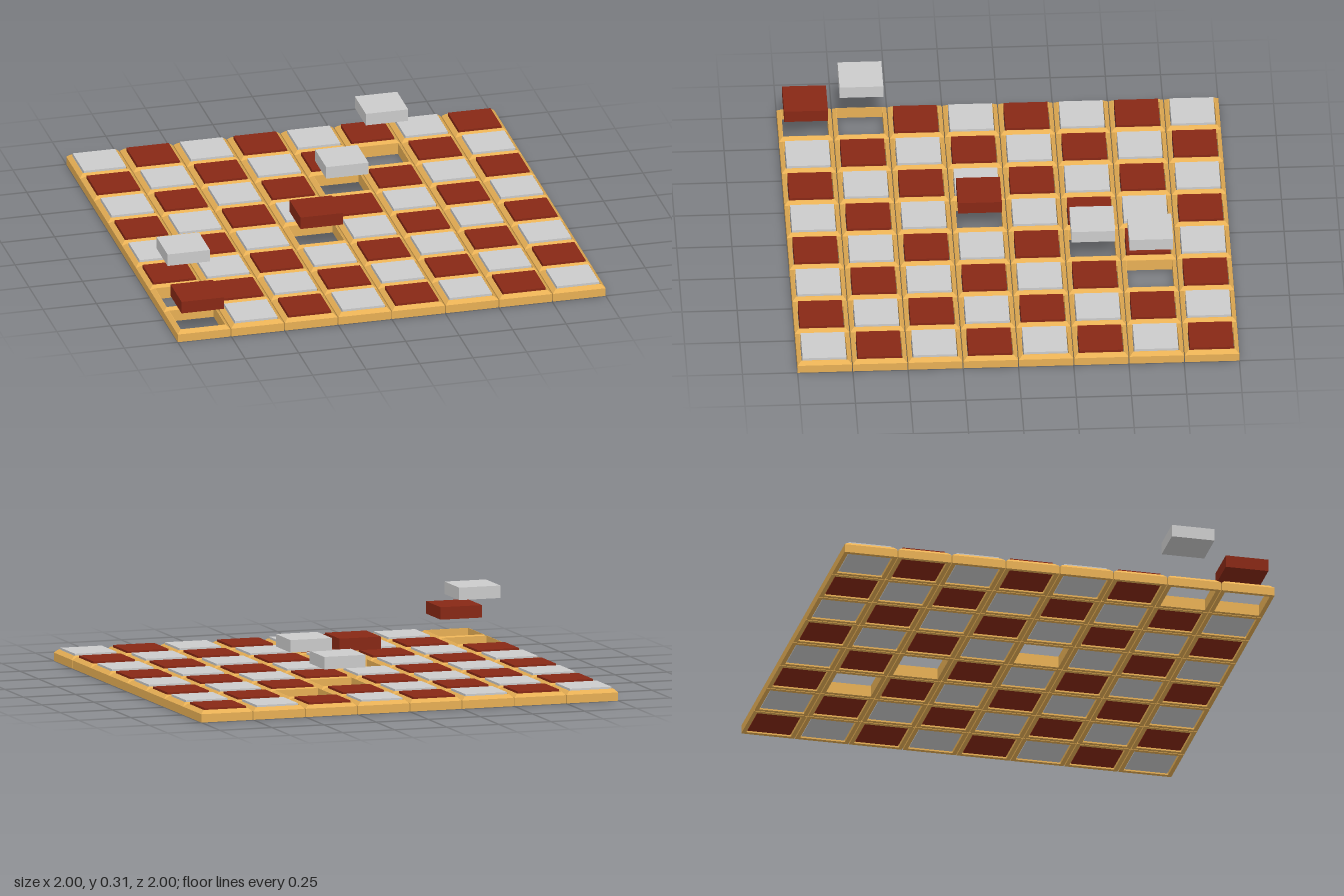
import * as THREE from 'three';

const COUNT = 8;
const CELL = 0.246;                        // outer width of one frame
const PITCH = (2 - CELL) / (COUNT - 1);    // leaves a hairline gap between frames
const TILE = 0.198, TILE_H = 0.057, TILE_Y = 0.005;

// Square ring with a bevelled outer edge, turned in four segments
function frameGeometry() {
  const profile = [
    [CELL / 2, 0], [CELL / 2, 0.038], [0.106, 0.054],
    [0.104, 0.054], [0.104, 0], [CELL / 2, 0],
  ].map(([half, y]) => new THREE.Vector2(half * Math.SQRT2, y));
  const geo = new THREE.LatheGeometry(profile, 4, Math.PI / 4).toNonIndexed();
  geo.computeVertexNormals();
  return geo;
}

// Tiles raised out of their frames: "column,row" -> lift
const LIFTED = {
  '0,7': 0.125, '3,4': 0.125, '4,2': 0.125,
  '0,6': 0.25, '5,1': 0.25,
};

export function createModel() {
  const board = new THREE.Group();
  board.name = 'checkeredBoard';

  const wood = new THREE.MeshStandardMaterial({ color: 0xe8b055, flatShading: true });
  const red = new THREE.MeshStandardMaterial({ color: 0x882815 });
  const grey = new THREE.MeshStandardMaterial({ color: 0xcccccc });
  const frameGeo = frameGeometry();
  const tileGeo = new THREE.BoxGeometry(TILE, TILE_H, TILE);

  for (let row = 0; row < COUNT; row++) {
    for (let col = 0; col < COUNT; col++) {
      const x = (col - (COUNT - 1) / 2) * PITCH;
      const z = (row - (COUNT - 1) / 2) * PITCH;

      // Open wooden frame
      const frame = new THREE.Mesh(frameGeo, wood);
      frame.name = 'frame';
      frame.position.set(x, 0, z);

      // Loose tile, seated or floating above its frame
      const isRed = (row + col) % 2 === 1;
      const tile = new THREE.Mesh(tileGeo, isRed ? red : grey);
      tile.name = isRed ? 'redTile' : 'greyTile';
      const lift = LIFTED[`${col},${row}`] ?? 0;
      tile.position.set(x, TILE_Y + TILE_H / 2 + lift, z);

      board.add(frame, tile);
    }
  }
  return board;
}
